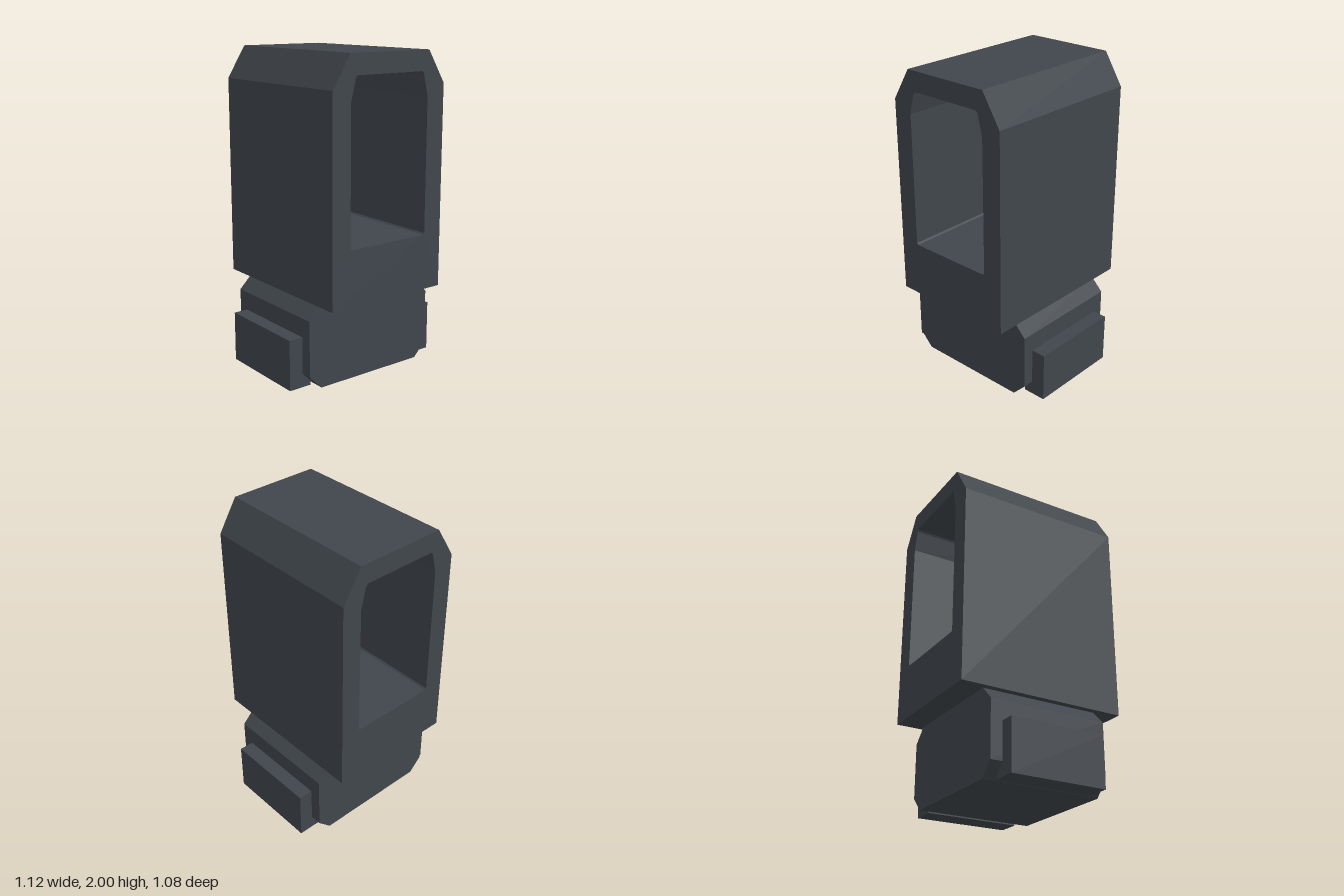
import * as THREE from 'three';

// Closed outline mirrored left to right; points run up the +x side
function mirrored(points, Type) {
  const left = points.map(([x, y]) => [-x, y]).reverse();
  return new Type([...points, ...left].map(([x, y]) => new THREE.Vector2(x, y)));
}

// Straight extrusion centred on z = 0
function slab(name, shape, depth, material) {
  const geometry = new THREE.ExtrudeGeometry(shape, { depth, bevelEnabled: false });
  geometry.translate(0, 0, -depth / 2);
  const mesh = new THREE.Mesh(geometry, material);
  mesh.name = name;
  return mesh;
}

export function createModel() {
  const model = new THREE.Group();
  model.name = 'framedSight';
  const darkMetal = new THREE.MeshStandardMaterial({ color: 0x40464c });
  darkMetal.name = 'dark metal';

  // Hood with a window running right through it
  const hood = mirrored([[0.42, 0.53], [0.42, 1.8], [0.295, 2]], THREE.Shape);
  hood.holes.push(mirrored([
    [0.28, 0.88], [0.29, 0.89], [0.29, 1.73], [0.258, 1.858], [0.252, 1.87], [0.24, 1.876],
  ], THREE.Path));
  model.add(slab('hood', hood, 1.084, darkMetal));

  // Chamfered mounting base
  const base = mirrored([[0.38, 0], [0.467, 0.088], [0.467, 0.44], [0.378, 0.53]], THREE.Shape);
  model.add(slab('base', base, 0.764, darkMetal));

  // Clamp plates on both sides of the base
  for (const side of [-1, 1]) {
    const plate = new THREE.Mesh(new THREE.BoxGeometry(0.15, 0.32, 0.616), darkMetal);
    plate.position.set(side * 0.485, 0.16, 0);
    plate.name = side > 0 ? 'leftClampPlate' : 'rightClampPlate';
    model.add(plate);
  }

  return model;
}
